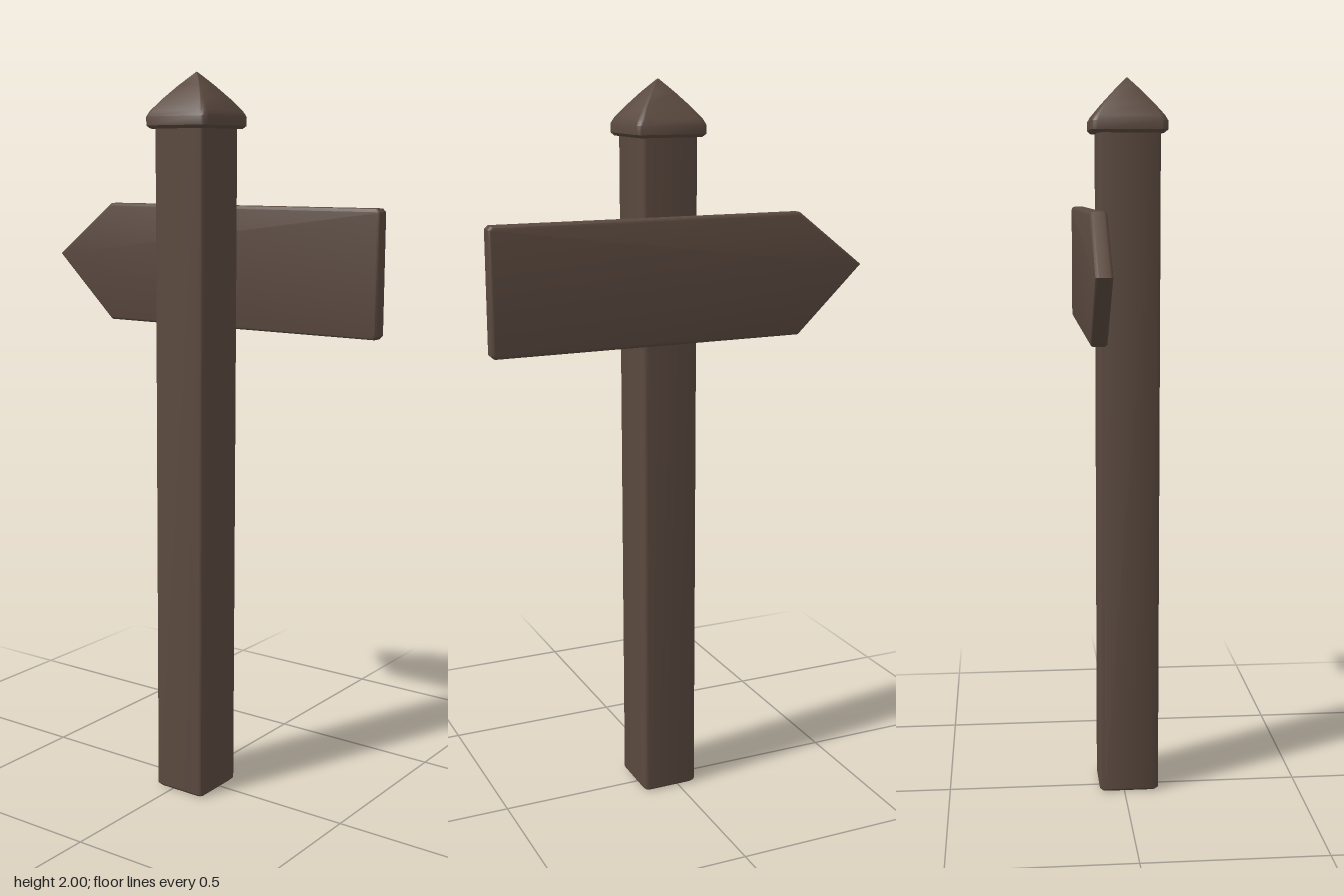
import * as THREE from 'three';
import { toCreasedNormals } from 'three/addons/utils/BufferGeometryUtils.js';

const CX = 0.025, CZ = 0.014; // post axis

// Rounded rectangle outline, counter-clockwise
function roundedRect(hx, hy, r, steps = 4) {
  const pts = [];
  [[1, 1], [-1, 1], [-1, -1], [1, -1]].forEach(([sx, sy], q) => {
    for (let i = 0; i <= steps; i++) {
      const a = (q + i / steps) * Math.PI / 2;
      pts.push(new THREE.Vector2(sx * (hx - r) + r * Math.cos(a), sy * (hy - r) + r * Math.sin(a)));
    }
  });
  return pts;
}

// Skin stacked rounded-square sections [y, halfX, halfZ, cornerRadius], closed at both ends
function loft(sections) {
  const pos = [], index = [];
  let n = 0;
  for (const [y, hx, hz, r] of sections) {
    const ring = roundedRect(hx, hz, r);
    n = ring.length;
    for (const p of ring) pos.push(p.x, y, -p.y);
  }
  const last = sections.length - 1;
  for (let s = 0; s < last; s++) {
    for (let i = 0; i < n; i++) {
      const a = s * n + i, b = s * n + (i + 1) % n;
      index.push(a, b, b + n, a, b + n, a + n);
    }
  }
  for (let i = 1; i < n - 1; i++) {
    index.push(0, i + 1, i);
    index.push(last * n, last * n + i, last * n + i + 1);
  }
  const g = new THREE.BufferGeometry();
  g.setAttribute('position', new THREE.Float32BufferAttribute(pos, 3));
  g.setIndex(index);
  return toCreasedNormals(g, 0.6);
}

export function createModel() {
  const group = new THREE.Group();
  const wood = new THREE.MeshStandardMaterial({ color: 0x5a493f });
  wood.name = 'dark brown wood';

  const add = (name, geometry, x, y, z) => {
    const mesh = new THREE.Mesh(geometry, wood);
    mesh.name = name;
    mesh.position.set(x, y, z);
    group.add(mesh);
  };

  // Square post with softened edges
  add('post', loft([
    [0, 0.073, 0.077, 0.012],
    [0.007, 0.08, 0.084, 0.014],
    [1.87, 0.08, 0.084, 0.014],
  ]), CX, 0, CZ);

  // Pyramid cap with a short lip and gently bowed slopes
  add('cap', loft([
    [1.853, 0.09, 0.094, 0.014],
    [1.861, 0.099, 0.103, 0.018],
    [1.884, 0.099, 0.103, 0.018],
    [1.898, 0.092, 0.095, 0.015],
    [1.93, 0.066, 0.068, 0.007],
    [1.965, 0.035, 0.036, 0.003],
    [1.99, 0.011, 0.011, 0.001],
    [2, 0.001, 0.001, 0.0005],
  ]), CX, 0, CZ - 0.001);

  // Arrow board fixed to the back of the post, pointing to -x
  const bevel = 0.009, depth = 0.044;
  const outline = new THREE.Shape([
    [-0.524, 1.5], [-0.339, 1.325], [0.522, 1.325], [0.526, 1.329],
    [0.526, 1.638], [0.522, 1.642], [-0.339, 1.642],
  ].map(([x, y]) => new THREE.Vector2(x, y)));
  const board = new THREE.ExtrudeGeometry(outline, {
    depth: depth - 2 * bevel, bevelThickness: bevel, bevelSize: bevel, bevelSegments: 3,
  });
  add('arrowBoard', toCreasedNormals(board, 0.6), 0, 0, -0.112 + bevel);

  return group;
}
